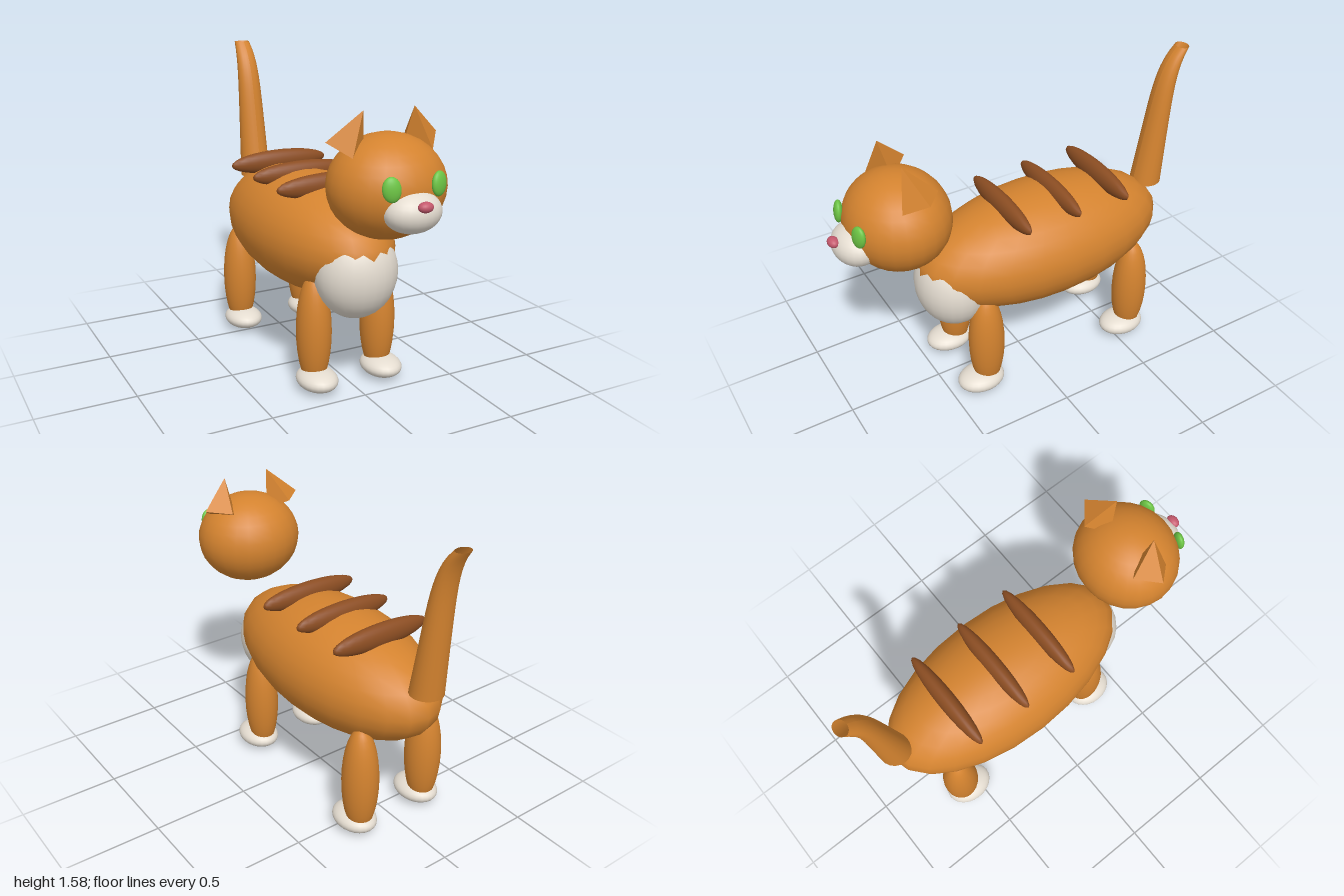
import * as THREE from 'three';

const paint = (name, color, extra = {}) => {
  const m = new THREE.MeshStandardMaterial({ color, ...extra });
  m.name = name;
  return m;
};

export function createModel() {
  const orange = paint('orange fur', 0xd4832f);
  const orangeFlat = paint('orange ear', 0xd4832f, { flatShading: true });
  const orangeOpen = paint('orange tail', 0xd4832f, { side: THREE.DoubleSide });
  const white = paint('white fur', 0xe4dcd0);
  const brown = paint('brown stripe', 0x8b4d22);
  const green = paint('green eye', 0x6cc444);
  const pink = paint('pink nose', 0xc4586c);

  const cat = new THREE.Group();
  cat.name = 'cat';
  const ball = new THREE.SphereGeometry(1, 24, 16);

  const add = (name, geometry, material, pos, scale = [1, 1, 1], rot = [0, 0, 0]) => {
    const mesh = new THREE.Mesh(geometry, material);
    mesh.name = name;
    mesh.position.set(...pos);
    mesh.scale.set(...scale);
    mesh.rotation.set(...rot);
    cat.add(mesh);
  };
  const blob = (name, material, pos, scale, rot) => add(name, ball, material, pos, scale, rot);

  // Torso, chest and back stripes
  blob('body', orange, [0, 0.7, -0.135], [0.34, 0.3, 0.7]);
  blob('chest', white, [0, 0.615, 0.39], [0.21, 0.235, 0.19]);
  for (const z of [0.095, -0.19, -0.475]) blob('stripe', brown, [0, 0.975, z], [0.28, 0.063, 0.045]);

  // Head and face
  blob('head', orange, [0, 1.105, 0.655], [0.278, 0.24, 0.255]);
  blob('muzzle', white, [0, 1.04, 0.87], [0.137, 0.095, 0.11]);
  blob('nose', pink, [0, 1.085, 0.973], [0.036, 0.024, 0.027]);

  const earShape = new THREE.ConeGeometry(0.1, 0.188, 4);
  earShape.translate(0, 0.094, 0);

  for (const s of [1, -1]) {
    const side = s > 0 ? 'left' : 'right';
    blob(side + 'Eye', green, [s * 0.118, 1.155, 0.892], [0.042, 0.056, 0.022], [-0.08, s * 0.3, s * -0.08]);
    add(side + 'Ear', earShape, orangeFlat, [s * 0.19, 1.283, 0.615], [1, 1, 1], [0.25, s * 0.13, s * 0.33]);

    // Legs and paws
    blob(side + 'FrontLeg', orange, [s * 0.18, 0.3, 0.297], [0.087, 0.3, 0.095]);
    blob(side + 'FrontPaw', white, [s * 0.183, 0.06, 0.337], [0.1, 0.055, 0.128]);
    blob(side + 'BackLeg', orange, [s * 0.2, 0.3, -0.595], [0.09, 0.3, 0.095]);
    blob(side + 'BackPaw', white, [s * 0.2, 0.06, -0.557], [0.1, 0.055, 0.128]);
  }

  // Tail: an open tapered tube, leaning back and curling at the tip
  const tail = new THREE.CylinderGeometry(1, 1, 1, 20, 20, true);
  const p = tail.attributes.position;
  for (let i = 0; i < p.count; i++) {
    const t = p.getY(i) + 0.5;
    const curl = Math.pow(t, 8);
    p.setXYZ(
      i,
      p.getX(i) * (0.083 - 0.028 * t - 0.013 * curl),
      0.825 + 0.75 * t,
      p.getZ(i) * (0.083 - 0.045 * t - 0.006 * curl) - 0.805 - 0.09 * t - 0.072 * curl
    );
  }
  tail.computeVertexNormals();
  add('tail', tail, orangeOpen, [0, 0, 0]);

  return cat;
}
